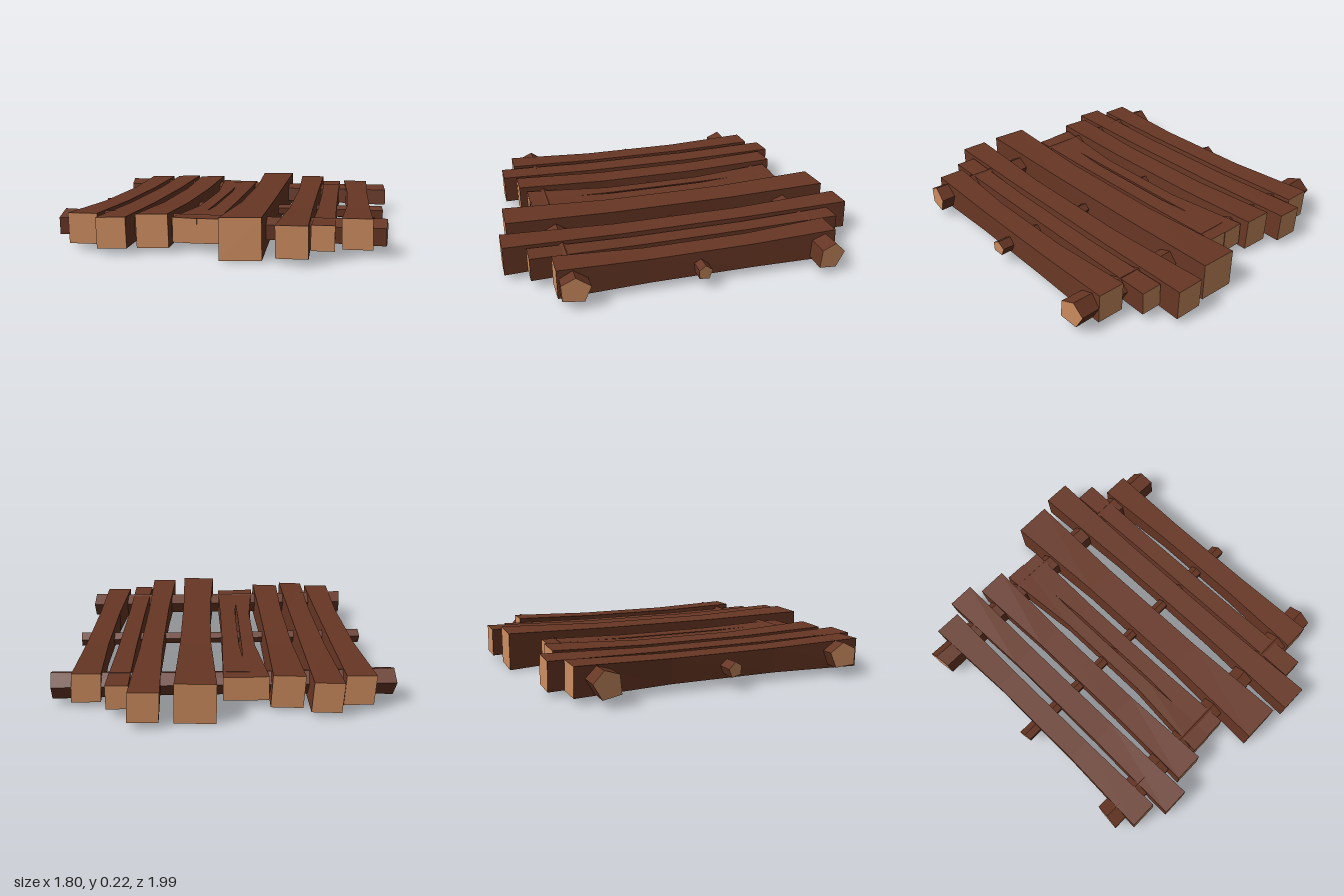
import * as THREE from 'three';

const bark = new THREE.MeshStandardMaterial({ color: 0x673624 });
bark.name = 'dark wood';
const cut = new THREE.MeshStandardMaterial({ color: 0xcd8d60 });
cut.name = 'cut wood';

// Flat-faced beam through matching rings: bark on the sides, cut wood on both ends.
// Rings run counter-clockwise as seen from the far end of the beam.
function beam(name, rings) {
  const pos = [];
  const tri = (...pts) => pts.forEach((p) => pos.push(...p));
  const n = rings[0].length;
  const last = rings[rings.length - 1];
  for (let i = 0; i < rings.length - 1; i++) {
    for (let j = 0; j < n; j++) {
      const k = (j + 1) % n;
      const a = rings[i][j], b = rings[i][k], c = rings[i + 1][k], d = rings[i + 1][j];
      tri(a, b, c);
      tri(a, c, d);
    }
  }
  const sides = pos.length / 3;
  for (let j = 1; j < n - 1; j++) {
    tri(rings[0][0], rings[0][j + 1], rings[0][j]);
    tri(last[0], last[j], last[j + 1]);
  }
  const geo = new THREE.BufferGeometry();
  geo.setAttribute('position', new THREE.Float32BufferAttribute(pos, 3));
  geo.addGroup(0, sides, 0);
  geo.addGroup(sides, pos.length / 3 - sides, 1);
  geo.computeVertexNormals();
  const mesh = new THREE.Mesh(geo, [bark, cut]);
  mesh.name = name;
  return mesh;
}

// Plank along z: full section at the ends, narrower section along the middle.
function plank(name, { len, end, mid, lean = 0, tilt = 0 }) {
  const ring = ([x0, x1, y0, y1], z, l, t) => [
    [x0 + l, y0 + t, z], [x1 + l, y0 - t, z], [x1, y1 - t, z], [x0, y1 + t, z],
  ];
  return beam(name, [
    ring(end, -len, lean, tilt),
    ring(mid, -len * 0.37, lean, 0),
    ring(mid, len * 0.37, lean / 2, 0),
    ring(end, len, lean / 2, tilt),
  ]);
}

// Five-sided log along x, slimmer in the middle, with slightly slanted ends.
function log(name, { half, z, y, section, slim, slant = 0.15 }) {
  const ring = (x, s, rise) => section.map(([pz, py]) => [
    x + (Math.abs(x) > half * 0.9 ? slant * (pz - z) : 0),
    y + rise + (py - y) * s,
    z + (pz - z) * s,
  ]);
  return beam(name, [
    ring(-half, 1, 0.012),
    ring(-half * 0.37, slim, 0.008),
    ring(half * 0.37, slim, 0.004),
    ring(half, 1, 0),
  ]);
}

export function createModel() {
  const raft = new THREE.Group();
  raft.name = 'raft';

  // Deck planks, left to right in x; sections are [x0, x1, y0, y1]
  const planks = [
    { len: 0.82, end: [-0.78, -0.625, 0.04, 0.2], mid: [-0.76, -0.63, 0.05, 0.185], lean: 0.008 },
    { len: 0.9, end: [-0.605, -0.45, 0.037, 0.197], mid: [-0.59, -0.455, 0.048, 0.185], lean: 0.01, tilt: -0.003 },
    { len: 0.825, end: [-0.42, -0.252, 0.03, 0.205], mid: [-0.405, -0.262, 0.045, 0.185], lean: 0.01, tilt: -0.003 },
    { len: 0.782, end: [-0.238, -0.11, 0.052, 0.182], mid: [-0.195, -0.118, 0.06, 0.168], tilt: 0.002 },
    { len: 0.778, end: [-0.13, 0, 0.05, 0.18], mid: [-0.104, -0.008, 0.06, 0.168] },
    { len: 0.955, end: [0.032, 0.243, 0.01, 0.222], mid: [0.057, 0.232, 0.036, 0.205], lean: 0.004, tilt: -0.003 },
    { len: 0.997, end: [0.31, 0.467, 0.038, 0.198], mid: [0.33, 0.458, 0.048, 0.182], lean: 0.008 },
    { len: 0.872, end: [0.473, 0.59, 0.052, 0.18], mid: [0.483, 0.585, 0.058, 0.17] },
    { len: 0.763, end: [0.62, 0.772, 0.04, 0.198], mid: [0.642, 0.768, 0.048, 0.182], lean: 0.01 },
  ];
  planks.forEach((p, i) => raft.add(plank(`deckPlank${i + 1}`, p)));

  // Cross logs; sections are [z, y] corners
  raft.add(log('frontLog', {
    half: 0.848, z: 0.68, y: 0.118, slim: 0.86, slant: -0.1,
    section: [[0.75, 0.06], [0.64, 0.05], [0.604, 0.134], [0.68, 0.187], [0.754, 0.15]],
  }));
  raft.add(log('middleLog', {
    half: 0.848, z: 0.01, y: 0.104, slim: 0.8, slant: 0.15,
    section: [[0.045, 0.075], [-0.01, 0.064], [-0.03, 0.11], [0.01, 0.144], [0.048, 0.123]],
  }));
  raft.add(log('backLog', {
    half: 0.89, z: -0.69, y: 0.112, slim: 0.86, slant: 0.12,
    section: [[-0.615, 0.055], [-0.717, 0.04], [-0.765, 0.123], [-0.705, 0.183], [-0.625, 0.155]],
  }));
  return raft;
}
